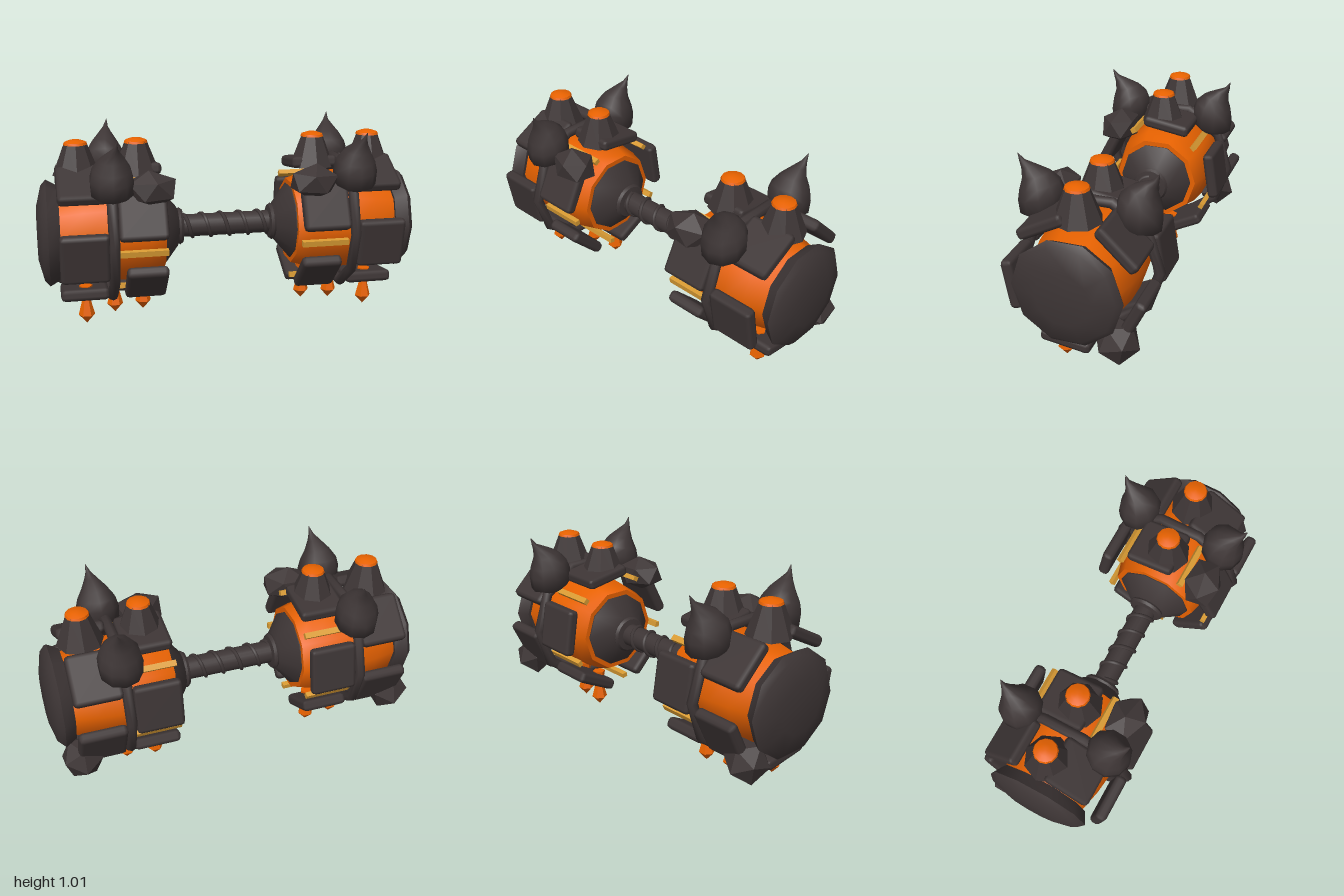
import * as THREE from 'three';
import { toCreasedNormals } from 'three/addons/utils/BufferGeometryUtils.js';
import { RoundedBoxGeometry } from 'three/addons/geometries/RoundedBoxGeometry.js';

const CY = 0.48; // height of the bar axis

export function createModel() {
  const mat = (name, color) => {
    const m = new THREE.MeshStandardMaterial({ color });
    m.name = name;
    return m;
  };
  const rock = mat('dark rock', 0x3d3535);
  const lava = mat('orange lava', 0xe86200);
  const gold = mat('gold', 0xd99b33);

  const model = new THREE.Group();
  model.name = 'rockDumbbell';

  const add = (parent, name, geo, material, x = 0, y = 0, z = 0) => {
    const mesh = new THREE.Mesh(geo, material);
    mesh.name = name;
    mesh.position.set(x, y, z);
    parent.add(mesh);
    return mesh;
  };
  // profile points are [radius, height], listed upwards
  const lathe = (pts, sides, crease) => toCreasedNormals(
    new THREE.LatheGeometry(pts.map(p => new THREE.Vector2(...p)), sides), crease);
  // lathe lying along the bar, heights pointing outwards on side s
  const axial = (pts, sides, crease, s) => lathe(pts, sides, crease).rotateZ(-s * Math.PI / 2);

  // bent teardrop horn from round cross-sections [x, y, z, radius]
  function hornGeometry(side) {
    const rings = [[0, 0.70, 0.23, 0.05], [0, 0.74, 0.245, 0.11], [0, 0.81, 0.25, 0.113], [0, 0.86, 0.255, 0.1],
      [0.003, 0.91, 0.27, 0.068], [0.01, 0.95, 0.305, 0.034], [0.016, 0.975, 0.332, 0.014], [0.024, 1.014, 0.35, 0.001]];
    const n = 10, pos = [], idx = [];
    for (const [x, y, z, r] of rings) {
      for (let i = 0; i < n; i++) {
        const a = i / n * Math.PI * 2;
        // sections lean with the horn
        pos.push(x + r * Math.sin(a), y - 0.25 * r * Math.cos(a), side * (z + r * Math.cos(a)));
      }
    }
    const face = (a, b, c) => (side > 0 ? idx.push(a, b, c) : idx.push(a, c, b));
    for (let k = 0; k < rings.length - 1; k++) {
      for (let i = 0; i < n; i++) {
        const a = k * n + i, b = k * n + (i + 1) % n;
        face(a, b, b + n);
        face(a, b + n, a + n);
      }
    }
    for (let i = 1; i < n - 1; i++) face(0, i + 1, i);
    const g = new THREE.BufferGeometry();
    g.setAttribute('position', new THREE.Float32BufferAttribute(pos, 3));
    g.setIndex(idx);
    g.computeVertexNormals();
    return g;
  }

  // handle with a spiral grip
  add(model, 'handle', new THREE.CylinderGeometry(0.06, 0.06, 0.56, 20).rotateZ(Math.PI / 2), rock, 0, CY);
  const spiral = [];
  for (let i = 0; i <= 90; i++) {
    const t = i / 90, a = t * Math.PI * 2 * 4.5;
    spiral.push(new THREE.Vector3(-0.23 + 0.46 * t, 0.061 * Math.cos(a), 0.061 * Math.sin(a)));
  }
  add(model, 'gripSpiral', new THREE.TubeGeometry(new THREE.CatmullRomCurve3(spiral), 200, 0.011, 6), rock, 0, CY);

  function addHead(s) {
    const head = new THREE.Group();
    head.name = s > 0 ? 'leftHead' : 'rightHead';
    model.add(head);

    // collar, neck cone, barrel-shaped lava core and end cap along the bar
    add(head, 'collar', axial([[0.055, 0.232], [0.09, 0.238], [0.1, 0.252], [0.09, 0.268], [0.055, 0.274]], 20, 0.7, s), rock, 0, CY);
    add(head, 'neckCone', axial([[0.06, 0.255], [0.105, 0.265], [0.205, 0.345], [0.205, 0.37]], 10, 0.7, s), rock, 0, CY);
    add(head, 'lavaCore', axial([[0, 0.35], [0.232, 0.35], [0.255, 0.43], [0.268, 0.54], [0.268, 0.66], [0.255, 0.77], [0.225, 0.9], [0, 0.9]], 10, 0.7, s), lava, 0, CY);
    add(head, 'endCap', axial([[0, 0.885], [0.245, 0.885], [0.28, 0.945], [0.25, 0.972], [0.14, 1], [0, 1]], 10, 0.7, s), rock, 0, CY);

    // band around the middle
    add(head, 'middleBand', new THREE.TorusGeometry(0.347, 0.028, 8, 10).rotateY(Math.PI / 2), rock, s * 0.625, CY);

    // two staggered rows of armour slabs, gold bars in the gaps of the inner row
    const around = (name, geo, material, x, r, deg) => {
      const a = THREE.MathUtils.degToRad(deg);
      const m = add(head, name, geo, material, s * x, CY + r * Math.sin(a), r * Math.cos(a));
      m.rotation.x = Math.PI / 2 - a;
    };
    const slab = width => new RoundedBoxGeometry(width, 0.062, 0.26, 1, 0.022);
    for (let i = 0; i < 5; i++) {
      const narrow = i === 4; // lower front slab
      around('outerSlab', slab(0.25), rock, 0.77, 0.32, 62 + 72 * i);
      around('innerSlab', slab(narrow ? 0.215 : 0.25), rock, narrow ? 0.457 : 0.475, 0.32, 27 + 72 * i);
      around('goldBar', new THREE.BoxGeometry(0.25, 0.026, 0.03), gold, 0.475, 0.304, 63 + 72 * i);
    }

    // small volcanoes on top
    for (const x of [0.475, 0.785]) {
      add(head, 'volcano', lathe([[0, 0.785], [0.122, 0.785], [0.058, 0.95], [0, 0.95]], 8, 0.5), rock, s * x);
      add(head, 'volcanoLava', lathe([[0.062, 0.944], [0.057, 0.956], [0.03, 0.966], [0, 0.97]], 12, 0.8), lava, s * x);
    }

    // horns at front and back
    for (const side of [1, -1]) add(head, side > 0 ? 'frontHorn' : 'backHorn', hornGeometry(side), rock, s * 0.63 + 0.008);

    // loose boulders
    const upper = add(head, 'upperBoulder', new THREE.IcosahedronGeometry(1, 0).rotateZ(s * 0.45).scale(0.142, 0.096, 0.108), rock, s * 0.422, 0.748, 0.24);
    upper.rotation.y = s * 0.15;
    add(head, 'lowerBoulder', new THREE.IcosahedronGeometry(0.115, 0).rotateX(0.3), rock, s * 0.87, 0.225, -0.22);

    // lava drips underneath
    for (const [x, z] of [[0.765, 0.09], [0.605, -0.045], [0.45, -0.066]]) {
      const drip = lathe([[0, 0], [0.043, 0.048], [0.022, 0.13], [0.035, 0.21], [0, 0.21]], 6, 0.3);
      add(head, 'lavaDrip', drip.rotateY(Math.PI / 2), lava, s * x, 0, z);
    }
  }
  addHead(1);
  addHead(-1);
  return model;
}
